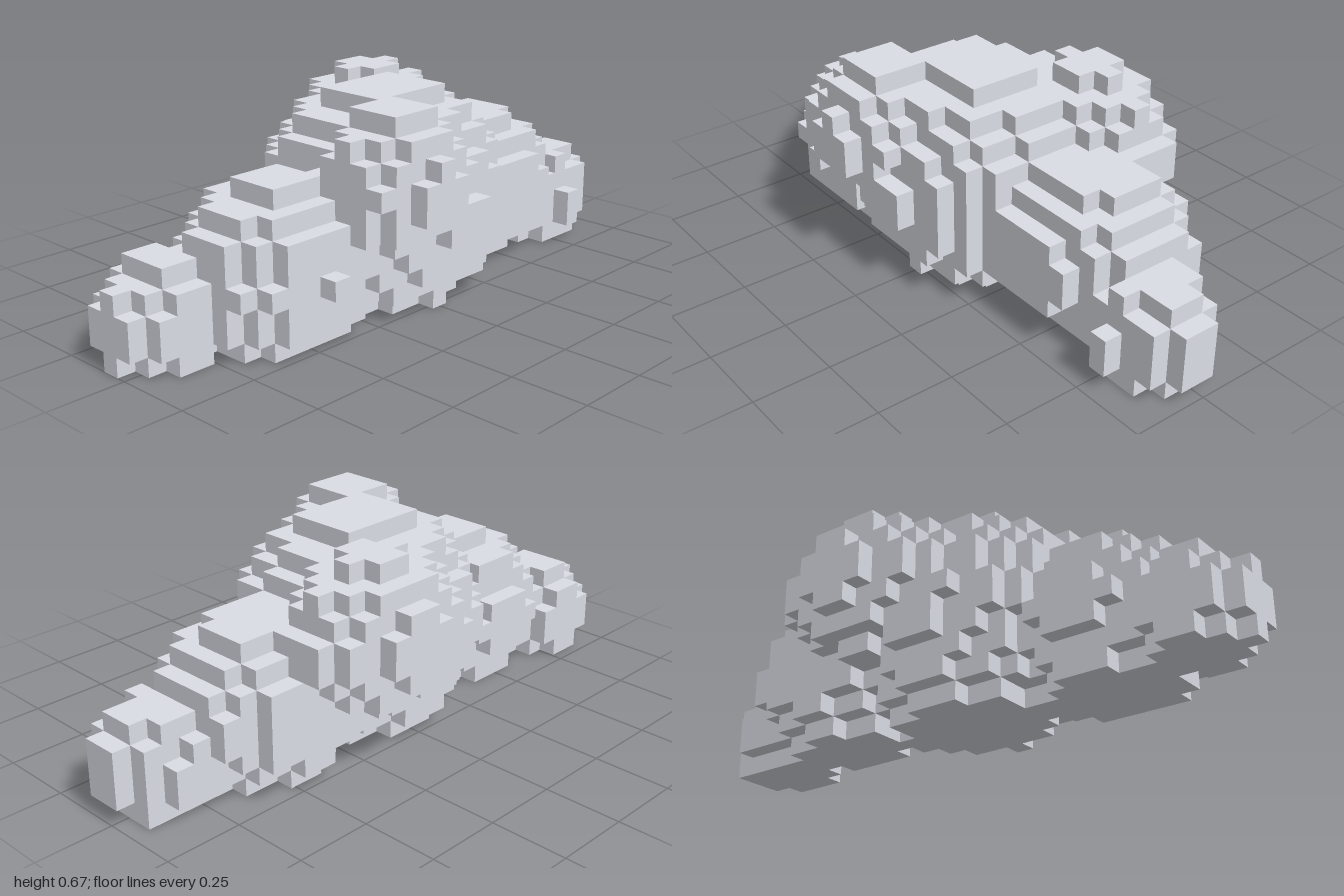
import * as THREE from 'three';
import { mergeGeometries } from 'three/addons/utils/BufferGeometryUtils.js';

const CELL = 2 / 33; // edge of one block

// Overlapping ellipsoid puffs in block units: name, centre, radii
const PUFFS = [
  ['mainPuff', [0, 5.1, 0.4], [6.45, 5.95, 5.7]],
  ['frontPuff', [-3, 7.4, 4], [3.85, 3.5, 3.25]],
  ['backPuff', [3.5, 7, -4], [4.75, 3.774, 3.45]],
  ['leftPuff', [7.5, 4, -0.7], [5.5, 4.3, 4.3]],
  ['leftTip', [13, 2.25, 0.4], [3.5, 2.9, 2.7]],
  ['rightPuff', [-8, 3.5, 0.8], [4.8, 4.4, 4.25]],
  ['rightTip', [-13.5, 2, -1], [3.2, 2.8, 2.6]],
];

// Index of the puff owning a block, or -1; blocks below the flat base are empty
function ownerOf(x, y, z) {
  if (y < 0) return -1;
  const p = [x, y + 0.5, z];
  return PUFFS.findIndex(([, c, r]) =>
    p.reduce((sum, v, i) => sum + ((v - c[i]) / r[i]) ** 2, 0) <= 1);
}

// One outward block face for each of the six directions
const FACES = [
  [1, 0, 0], [-1, 0, 0], [0, 1, 0], [0, -1, 0], [0, 0, 1], [0, 0, -1],
].map((d) => {
  const dir = new THREE.Vector3(...d);
  const turn = new THREE.Quaternion().setFromUnitVectors(new THREE.Vector3(0, 0, 1), dir);
  const geometry = new THREE.PlaneGeometry(CELL, CELL)
    .translate(0, 0, CELL / 2)
    .applyQuaternion(turn);
  return { d, geometry };
});

export function createModel() {
  const group = new THREE.Group();
  group.name = 'blockCloud';
  const cloudGrey = new THREE.MeshStandardMaterial({ color: 0xdadde5 });
  cloudGrey.name = 'cloudGrey';

  // Collect only the exposed faces of every filled block
  const parts = PUFFS.map(() => []);
  for (let x = -16; x <= 16; x++) {
    for (let y = 0; y <= 10; y++) {
      for (let z = -7; z <= 7; z++) {
        const owner = ownerOf(x, y, z);
        if (owner < 0) continue;
        for (const { d, geometry } of FACES) {
          if (ownerOf(x + d[0], y + d[1], z + d[2]) >= 0) continue;
          parts[owner].push(geometry.clone().translate(x * CELL, (y + 0.5) * CELL, z * CELL));
        }
      }
    }
  }

  // One mesh per puff
  parts.forEach((faces, i) => {
    const mesh = new THREE.Mesh(mergeGeometries(faces), cloudGrey);
    mesh.name = PUFFS[i][0];
    group.add(mesh);
  });
  return group;
}
